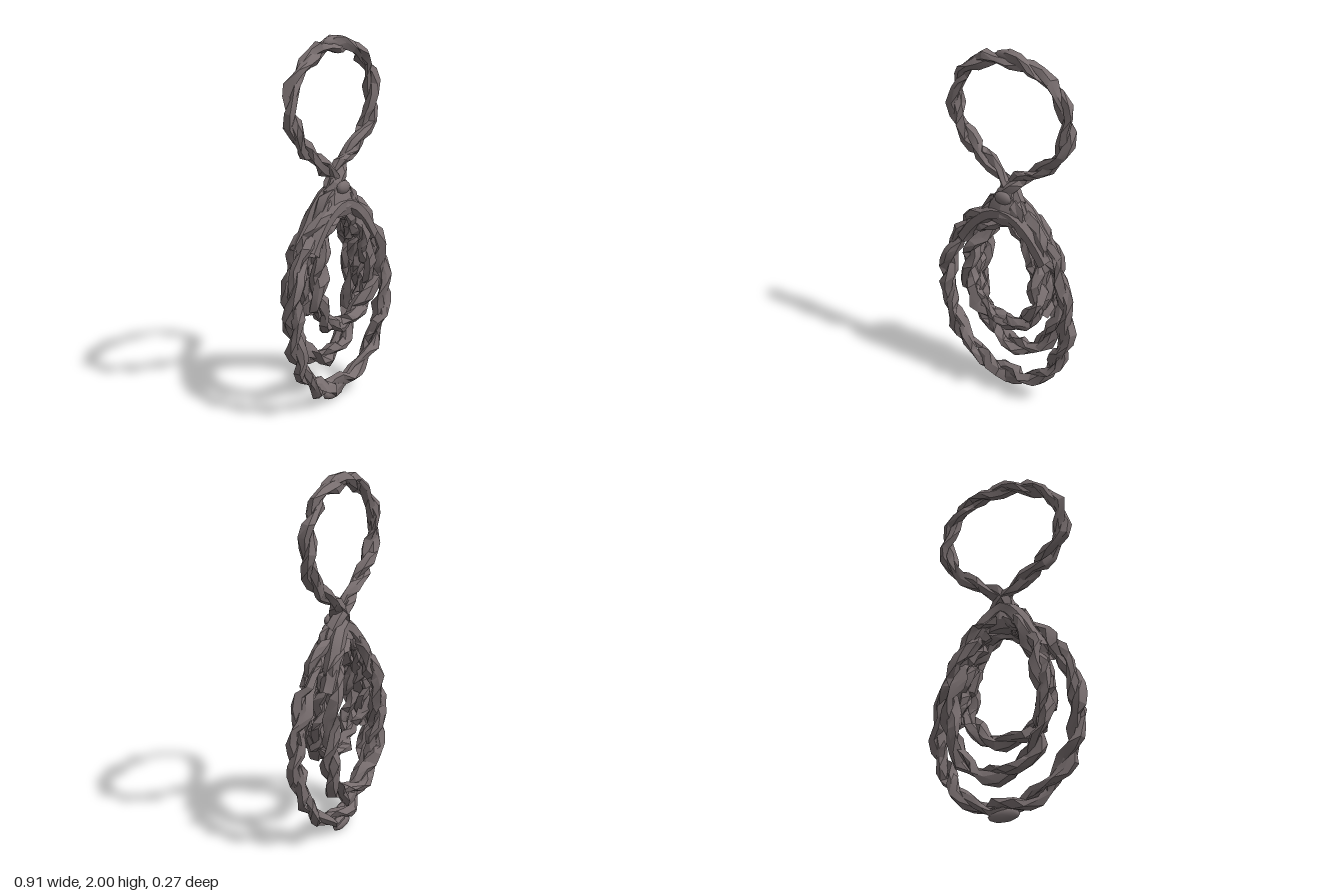
import * as THREE from 'three';
import { toCreasedNormals } from 'three/addons/utils/BufferGeometryUtils.js';

// small seeded noise in -1..1
let seed = 7;
const rnd = () => {
  seed = (seed * 16807) % 2147483647;
  return (seed / 2147483647) * 2 - 1;
};

// One rough, low-poly strand wound around a path lying roughly in the xy plane
function strandGeometry(curve, { steps, phase, twists, offset, radius, rough, sides = 5 }) {
  const pos = [], index = [];
  const side = new THREE.Vector3(), up = new THREE.Vector3(), p = new THREE.Vector3();
  for (let i = 0; i <= steps; i++) {
    const t = i / steps;
    const c = curve.getPointAt(t), tan = curve.getTangentAt(t);
    side.set(0, 0, 1).cross(tan).normalize();
    up.copy(tan).cross(side);
    const w = phase + t * twists * Math.PI * 2;
    c.addScaledVector(side, Math.cos(w) * offset).addScaledVector(up, Math.sin(w) * offset);
    for (let j = 0; j < sides; j++) {
      const a = (j / sides) * Math.PI * 2 + w;
      const r = radius * (1 + rough * rnd());
      p.copy(c).addScaledVector(side, Math.cos(a) * r).addScaledVector(up, Math.sin(a) * r)
        .addScaledVector(tan, radius * rough * rnd());
      pos.push(p.x, p.y, p.z);
    }
  }
  // a closed path reuses its first ring
  const last = steps * sides * 3;
  if (curve.closed) for (let k = 0; k < sides * 3; k++) pos[last + k] = pos[k];
  for (let i = 0; i < steps; i++) {
    for (let j = 0; j < sides; j++) {
      const a = i * sides + j, b = i * sides + (j + 1) % sides;
      index.push(a, b, a + sides, b, b + sides, a + sides);
    }
  }
  const g = new THREE.BufferGeometry();
  g.setAttribute('position', new THREE.Float32BufferAttribute(pos, 3));
  g.setIndex(index);
  return toCreasedNormals(g, 0.4);
}

// Mirror a half path (+x side, ending on the centre line) into a whole loop
function mirroredPath(half, closed = false) {
  const right = half.map(([x, y, z]) => new THREE.Vector3(x, y, z));
  const left = right.slice(closed ? 1 : 0, -1).reverse().map(v => new THREE.Vector3(-v.x, v.y, v.z));
  return new THREE.CatmullRomCurve3([...right, ...left], closed);
}

export function createModel() {
  seed = 7;
  const model = new THREE.Group();
  const rope = new THREE.MeshStandardMaterial({ color: 0x786e6f, side: THREE.DoubleSide });
  rope.name = 'greyRope';

  const add = (name, geometry, parent = model) => {
    const mesh = new THREE.Mesh(geometry, rope);
    mesh.name = name;
    parent.add(mesh);
    return mesh;
  };

  // Each loop is two strands twisted together
  const addLoop = (name, curve, steps, twists, offset = 0.023, radius = 0.03) => {
    const loop = new THREE.Group();
    loop.name = name;
    for (let k = 0; k < 2; k++) {
      add(name + 'Strand' + (k + 1), strandGeometry(curve, {
        steps, phase: k * Math.PI + 0.4, twists, offset, radius, rough: 0.5,
      }), loop);
    }
    model.add(loop);
  };

  // Upper ring, its ends crossing at the neck
  addLoop('upperLoop', mirroredPath([
    [-0.06, 1.17, 0.02], [0, 1.255, 0.015], [0.08, 1.33, 0], [0.17, 1.385, 0], [0.28, 1.475, 0],
    [0.34, 1.58, 0], [0.34, 1.74, 0], [0.25, 1.88, 0.01], [0.12, 1.94, 0.01], [0, 1.95, 0.01],
  ]), 36, 6, 0.02, 0.027);

  // Hanging loops, one inside the other
  addLoop('outerLoop', mirroredPath([
    [0.04, 1.17, 0.04], [0.13, 1.1, 0.04], [0.25, 0.98, 0.04], [0.355, 0.81, 0.04], [0.4, 0.6, 0.05],
    [0.37, 0.38, 0.05], [0.275, 0.21, 0.035], [0.13, 0.105, 0.02], [0, 0.082, 0.01],
  ]), 48, 7);
  addLoop('middleLoop', mirroredPath([
    [0.04, 1.13, -0.01], [0.12, 1.06, -0.035], [0.2, 0.93, -0.065], [0.25, 0.75, -0.08],
    [0.26, 0.54, -0.075], [0.2, 0.34, -0.065], [0.1, 0.26, -0.055], [0, 0.24, -0.05],
  ]), 38, 5, 0.024, 0.031);
  addLoop('innerLoop', mirroredPath([
    [0, 1.07, 0.03], [0.09, 1.03, 0.04], [0.175, 0.92, 0.055], [0.225, 0.76, 0.075],
    [0.23, 0.64, 0.08], [0.135, 0.49, 0.055], [0, 0.45, 0.045],
  ], true), 34, 5);

  // Extra turns filling the sides between the inner and middle loops
  for (const s of [1, -1]) {
    const path = [
      [0.1, 1.06, 0], [0.18, 0.94, -0.005], [0.225, 0.8, 0], [0.24, 0.67, 0.005], [0.23, 0.56, 0.02],
    ].map(([x, y, z]) => new THREE.Vector3(s * x, y, z));
    addLoop(s > 0 ? 'leftFillTurn' : 'rightFillTurn', new THREE.CatmullRomCurve3(path), 12, 2);
  }

  // Smooth bends of rope lying over the neck, front and back
  const bend = (name, half, radius) => add(name, strandGeometry(mirroredPath(half), {
    steps: 14, phase: 0, twists: 0, offset: 0, radius, rough: 0.12, sides: 6,
  }));
  bend('frontBend', [[0.27, 0.9, 0.06], [0.18, 1.02, 0.06], [0.08, 1.1, 0.06], [0, 1.12, 0.06]], 0.043);
  bend('backBend', [[0.24, 0.88, -0.045], [0.15, 1.03, -0.03], [0.07, 1.14, -0.015], [0, 1.19, 0]], 0.048);

  // Gathered neck, narrow at the crossing and wider below
  const neck = add('neck', toCreasedNormals(new THREE.LatheGeometry([
    [0, 1.04], [0.11, 1.06], [0.135, 1.11], [0.11, 1.17], [0.065, 1.22], [0.045, 1.26], [0, 1.29],
  ].map(([x, y]) => new THREE.Vector2(x, y)), 8), 0.5));
  neck.scale.z = 0.6;
  neck.position.z = 0.025;

  // Small rounded bulges at the very top and bottom, and a knob on the neck's front
  for (const [name, y, z, width] of [
    ['topBulge', 1.965, 0.005, 0.09], ['bottomBulge', 0.043, 0.005, 0.09], ['neckKnob', 1.21, 0.07, 0.055],
  ]) {
    const bulge = add(name, new THREE.SphereGeometry(1, 8, 6));
    bulge.scale.set(width, 0.036, 0.026);
    bulge.position.set(0, y, z);
  }

  return model;
}
